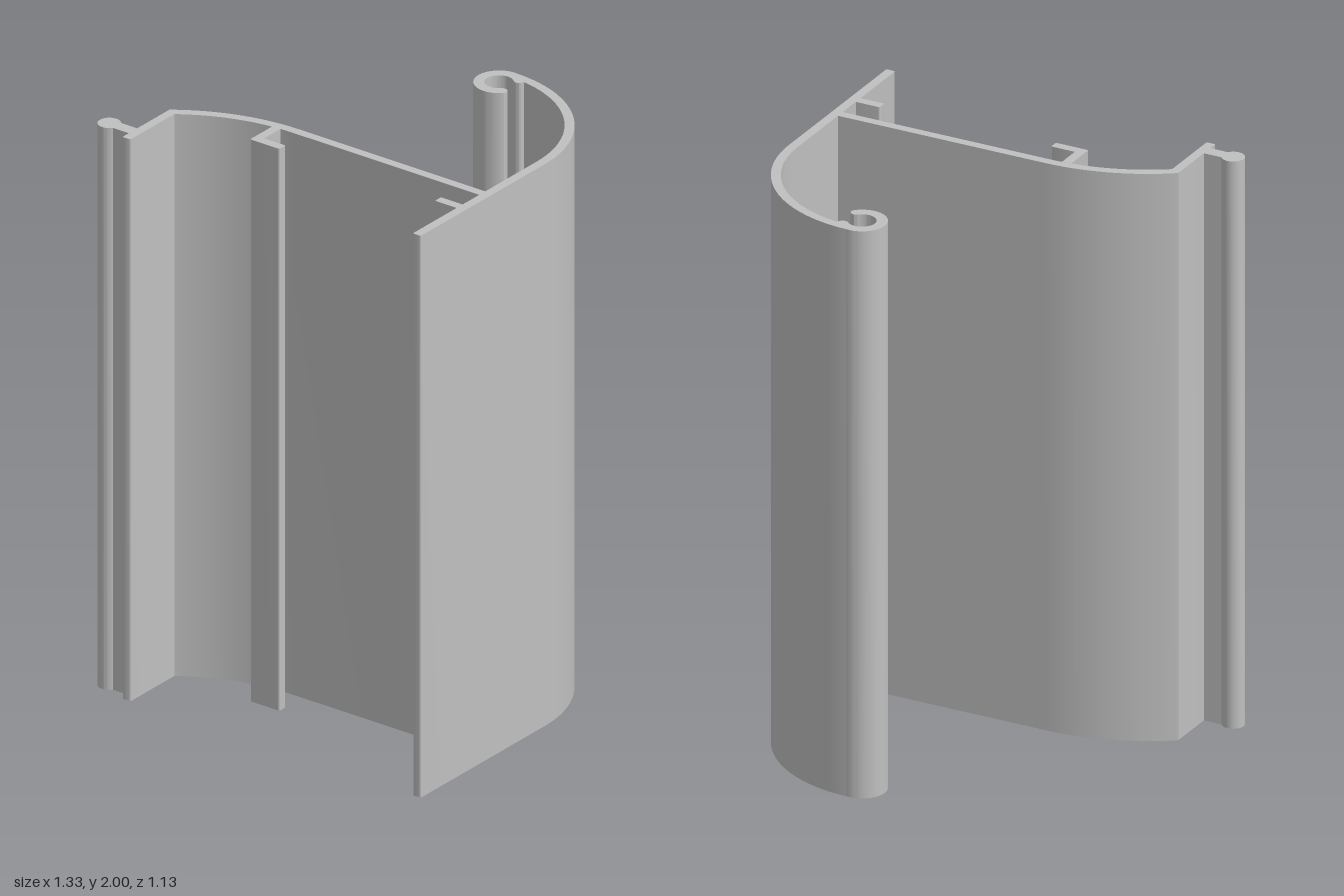
import * as THREE from 'three';
import { toCreasedNormals } from 'three/addons/utils/BufferGeometryUtils.js';

const HEIGHT = 2;
const R = 0.006; // softened tip radius

export function createModel() {
  const model = new THREE.Group();
  model.name = 'extrudedProfile';
  const aluminium = new THREE.MeshStandardMaterial({ color: 0xc0c0c0 });
  aluminium.name = 'aluminium grey';

  // Extrude a plan outline (x, -z) straight up
  function addPart(name, shape) {
    const geometry = new THREE.ExtrudeGeometry(shape, { depth: HEIGHT, bevelEnabled: false, curveSegments: 24 });
    geometry.rotateX(-Math.PI / 2);
    const mesh = new THREE.Mesh(toCreasedNormals(geometry, 0.6), aluminium);
    mesh.name = name;
    model.add(mesh);
  }

  // Closed outline from [x, z, rounded?] corners, counter-clockwise in plan
  function outline(corners) {
    const shape = new THREE.Shape();
    const pts = corners.map(([x, z]) => new THREE.Vector2(x, -z));
    const n = pts.length;
    const go = (p, first) => (first ? shape.moveTo(p.x, p.y) : shape.lineTo(p.x, p.y));
    pts.forEach((p, i) => {
      if (!corners[i][2]) return go(p, i === 0);
      const toward = (q) => q.clone().sub(p).setLength(R).add(p);
      const b = toward(pts[(i + 1) % n]);
      go(toward(pts[(i + n - 1) % n]), i === 0);
      shape.quadraticCurveTo(p.x, p.y, b.x, b.y);
    });
    shape.closePath();
    return shape;
  }

  // Side wall sweeping into the curved back
  const wall = new THREE.Shape();
  wall.moveTo(0.632, -0.563 + R);
  wall.quadraticCurveTo(0.632, -0.563, 0.632 + R, -0.563);
  wall.lineTo(0.664 - R, -0.563);
  wall.quadraticCurveTo(0.664, -0.563, 0.664, -0.563 + R);
  wall.lineTo(0.664, 0.093);
  wall.absarc(0.19, 0.093, 0.474, 0, Math.PI / 2, false);
  wall.lineTo(0.19, 0.535);
  wall.absarc(0.19, 0.093, 0.442, Math.PI / 2, 0, true);
  wall.closePath();
  addPart('curvedWall', wall);

  // Open C-shaped screw channel with round lips
  const cx = 0.185, cy = 0.485, outer = 0.083, inner = 0.047;
  const a = Math.PI / 4, mid = (outer + inner) / 2, lip = (outer - inner) / 2;
  const d = mid * Math.SQRT1_2;
  const hook = new THREE.Shape();
  hook.absarc(cx, cy, outer, a, 7 * a, false);
  hook.absarc(cx + d, cy - d, lip, -a, 3 * a, false);
  hook.absarc(cx, cy, inner, 7 * a, a, true);
  hook.absarc(cx + d, cy + d, lip, 5 * a, 9 * a, false);
  addPart('hookChannel', hook);

  // Cross web: straight, then arching down to the leg
  const ax = -0.12, ay = -0.873, ro = 0.695, ri = 0.663;
  const endOuter = Math.acos((-0.533 - ax) / ro);
  const endInner = Math.acos((-0.501 - ax) / ri);
  const web = new THREE.Shape();
  web.moveTo(0.632, -0.21);
  web.lineTo(0.632, -0.178);
  web.absarc(ax, ay, ro, Math.PI / 2, endOuter, false);
  web.absarc(ax, ay, ri, endInner, Math.PI / 2, true);
  web.closePath();
  addPart('archedWeb', web);

  // Leg below the end of the arch
  addPart('leg', outline([
    [-0.533, 0.314], [-0.533, 0.563, true], [-0.501, 0.563, true], [-0.501, 0.33],
  ]));

  // Ball bead on a short arm
  const bx = -0.628, by = -0.507, br = 0.038, half = 0.022;
  const t = Math.asin(half / br);
  const bead = new THREE.Shape();
  bead.moveTo(-0.533, by - half);
  bead.lineTo(-0.533, by + half);
  bead.absarc(bx, by, br, t, 2 * Math.PI - t, false);
  bead.closePath();
  addPart('ballBead', bead);

  // L-shaped clip and the tab that faces it
  addPart('clip', outline([
    [-0.197, 0.2145], [-0.197, 0.33, true], [-0.079, 0.33, true],
    [-0.079, 0.298, true], [-0.165, 0.298], [-0.165, 0.2115],
  ]));
  addPart('wallTab', outline([
    [0.545, 0.298, true], [0.545, 0.33, true], [0.632, 0.33], [0.632, 0.298],
  ]));

  return model;
}
